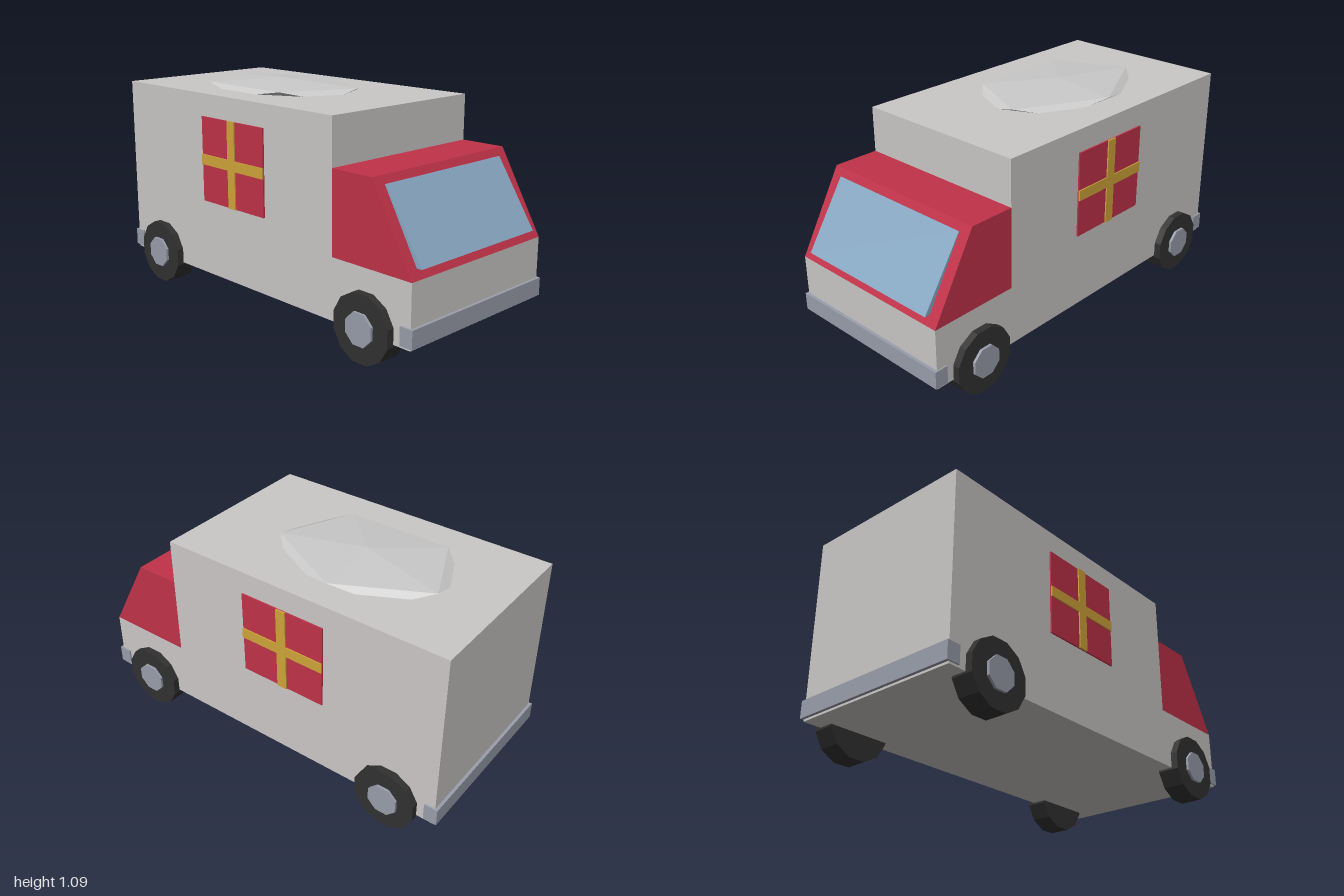
import * as THREE from 'three';
import { ConvexGeometry } from 'three/addons/geometries/ConvexGeometry.js';

function material(name, color) {
  const m = new THREE.MeshStandardMaterial({ color });
  m.name = name;
  return m;
}

export function createModel() {
  const body = material('body grey', 0xcbc8c6);
  const dome = material('roof grey', 0xc9c9c9);
  const red = material('red', 0xc03248);
  const gold = material('gold', 0xcfa43a);
  const glass = material('glass blue', 0x88a8c3);
  const metal = material('metal grey', 0x999eab);
  const rubber = material('tyre black', 0x313131);

  const model = new THREE.Group();
  model.name = 'van';

  function add(name, geometry, mat, x = 0, y = 0, z = 0) {
    const mesh = new THREE.Mesh(geometry, mat);
    mesh.name = name;
    mesh.position.set(x, y, z);
    model.add(mesh);
    return mesh;
  }

  // Extrudes a [z, y] side profile symmetrically across x
  function sideProfile(points, width) {
    const shape = new THREE.Shape(points.map(([z, y]) => new THREE.Vector2(-z, y)));
    const g = new THREE.ExtrudeGeometry(shape, { depth: width, bevelEnabled: false });
    g.translate(0, 0, -width / 2);
    g.rotateY(Math.PI / 2);
    return g;
  }

  // Cargo body with low nose in one profile
  add('body', sideProfile([
    [-0.985, 0.125], [0.985, 0.125], [0.985, 0.42], [0.53, 0.42], [0.53, 1.04], [-0.985, 1.04],
  ], 0.9), body);

  // Cab with sloping front, and a wedge-shaped windscreen
  add('cab', sideProfile([[0.53, 0.42], [0.985, 0.42], [0.76, 0.815], [0.53, 0.815]], 0.9), red);
  add('windscreen', sideProfile([[0.94, 0.462], [0.988, 0.462], [0.784, 0.78], [0.76, 0.78]], 0.788), glass);

  // Bumpers
  for (const s of [1, -1]) {
    add(s > 0 ? 'frontBumper' : 'rearBumper', new THREE.BoxGeometry(0.915, 0.086, 0.068), metal, 0, 0.179, s * 0.966);
  }

  // Faceted roof pod: flattened icosahedron half sunk into the roof
  const points = [new THREE.Vector3(0, 1, 0), new THREE.Vector3(0, -1, 0)];
  for (let i = 0; i < 10; i++) {
    const a = (i * Math.PI) / 5;
    points.push(new THREE.Vector3(0.894 * Math.cos(a), i % 2 ? -0.447 : 0.447, 0.894 * Math.sin(a)));
  }
  const podGeometry = new ConvexGeometry(points);
  podGeometry.scale(0.362, 0.046, 0.508);
  podGeometry.computeVertexNormals();
  add('roofPod', podGeometry, dome, 0, 1.04, -0.285);

  for (const s of [1, -1]) {
    const side = s > 0 ? 'left' : 'right';

    // Side panel with crossed bands
    add(side + 'Panel', new THREE.BoxGeometry(0.009, 0.424, 0.454), red, s * 0.4535, 0.716, -0.14);
    add(side + 'UprightBand', new THREE.BoxGeometry(0.009, 0.426, 0.052), gold, s * 0.46, 0.716, -0.14);
    add(side + 'LevelBand', new THREE.BoxGeometry(0.0085, 0.052, 0.456), gold, s * 0.46, 0.716, -0.14);

    // Wheels
    for (const e of [1, -1]) {
      const name = side + (e > 0 ? 'Front' : 'Rear');
      const tyre = new THREE.CylinderGeometry(0.163, 0.163, 0.11, 12);
      tyre.rotateY(Math.PI / 12).rotateZ(Math.PI / 2);
      const hub = new THREE.CylinderGeometry(0.08, 0.08, 0.06, 8);
      hub.rotateY(Math.PI / 8).rotateZ(Math.PI / 2);
      tyre.deleteAttribute('uv');
      hub.deleteAttribute('uv');
      const flatTyre = tyre.toNonIndexed();
      const flatHub = hub.toNonIndexed();
      flatTyre.computeVertexNormals();
      flatHub.computeVertexNormals();
      add(name + 'Tyre', flatTyre, rubber, s * 0.43, 0.1575, e * 0.735);
      add(name + 'Hub', flatHub, metal, s * 0.468, 0.1575, e * 0.735);
    }
  }

  return model;
}
